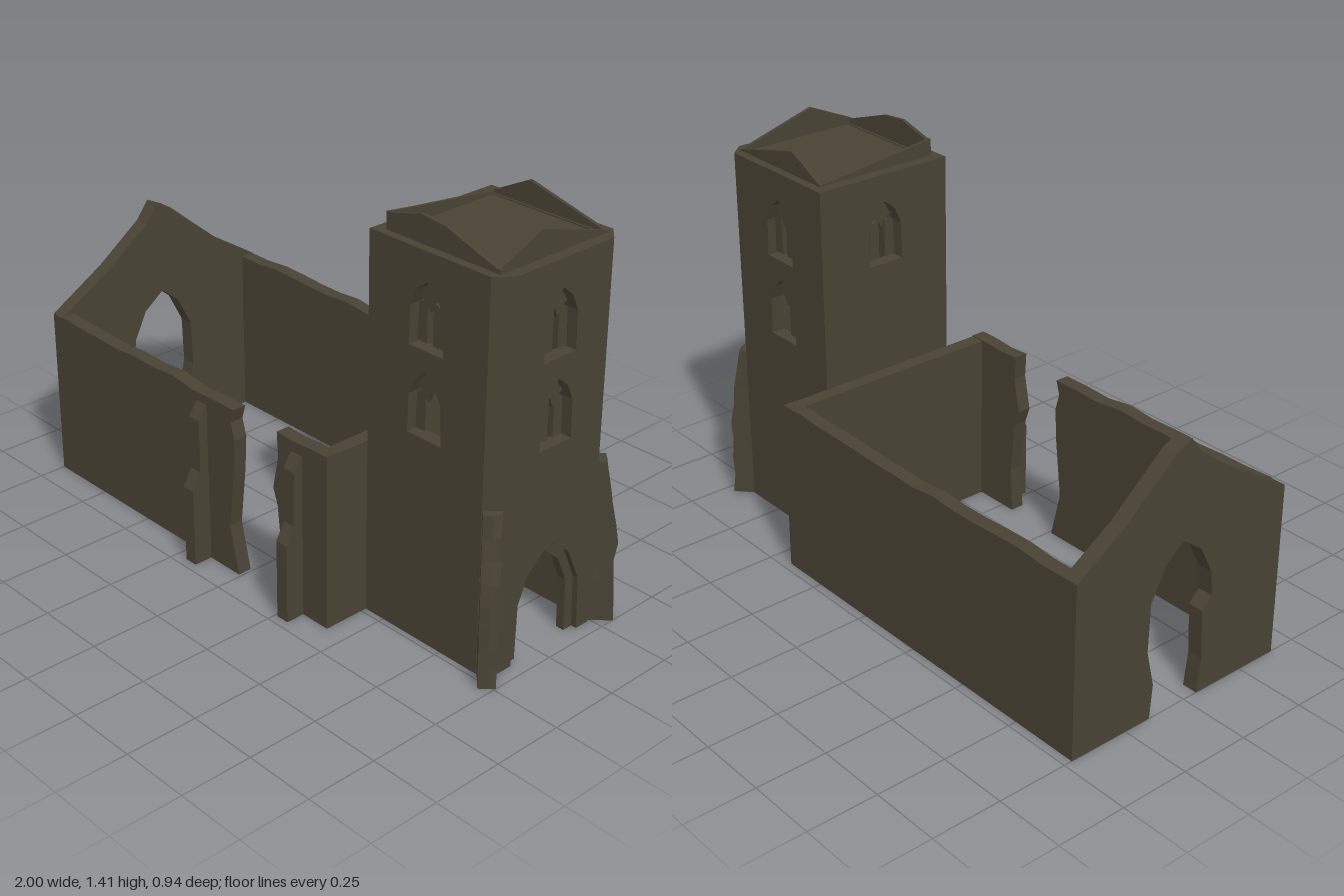
import * as THREE from 'three';

const stone = new THREE.MeshStandardMaterial({ color: 0x484234, flatShading: true, side: THREE.DoubleSide });
stone.name = 'weathered stone';

const hash = (n) => { const s = Math.sin(n * 127.1) * 43758.5453; return s - Math.floor(s); };

const outline = (pts) => new THREE.Shape(pts.map(([x, y]) => new THREE.Vector2(x, y)));

function extrude(pts, holes, depth) {
  const shape = outline(pts);
  for (const h of holes) shape.holes.push(outline(h));
  return new THREE.ExtrudeGeometry(shape, { depth, bevelEnabled: false });
}

function add(group, name, geometry) {
  const mesh = new THREE.Mesh(geometry, stone);
  mesh.name = name;
  group.add(mesh);
  return mesh;
}

// Slab facing z: points are (x, y), filling z0 to z0 + depth
const slabZ = (g, name, pts, z0, depth, holes = []) =>
  add(g, name, extrude(pts, holes, depth).translate(0, 0, z0));

// Slab facing x: points are (z, y), filling x0 to x0 + depth
const slabX = (g, name, pts, x0, depth, holes = []) => {
  const flip = (list) => list.map(([z, y]) => [-z, y]);
  return add(g, name, extrude(flip(pts), holes.map(flip), depth).rotateY(Math.PI / 2).translate(x0, 0, 0));
};

const rect = (a, b, y0, y1) => [[a, y0], [b, y0], [b, y1], [a, y1]];

// Pointed arch, from its lower left foot round to its lower right foot
const arch = (c, half, y0, spring, apex) => {
  const shoulder = spring + (apex - spring) * 0.62;
  return [[c - half, y0], [c - half * 0.95, spring], [c - half * 0.6, shoulder], [c, apex],
    [c + half * 0.6, shoulder], [c + half * 0.95, spring], [c + half, y0]];
};

// Uneven broken wall top, running from a to b
const raggedTop = (a, b, n, seed) => Array.from({ length: n + 1 }, (_, i) =>
  [a + (b - a) * i / n, 0.605 + 0.017 * hash(seed + i)]);

const MID = -0.03;        // tower centre line in z
const TOP = 1.32;         // tower wall height
const WIN = 0.66;         // window centre line in x

function buildNave() {
  const nave = new THREE.Group();
  nave.name = 'nave';
  slabZ(nave, 'backWall', [[-0.945, 0], [0.42, 0], ...raggedTop(0.42, -0.945, 14, 3)], -0.47, 0.05);
  // Front wall in two lengths beside a broken gap
  slabZ(nave, 'frontWallLong', [[-0.945, 0], [-0.01, 0], [-0.05, 0.17], [-0.025, 0.38], [-0.018, 0.5],
    [-0.035, 0.56], ...raggedTop(-0.02, -0.945, 9, 21)], 0.35, 0.05);
  slabZ(nave, 'frontWallShort', [[0.2, 0], [0.42, 0], ...raggedTop(0.42, 0.19, 3, 41),
    [0.195, 0.53], [0.17, 0.41], [0.19, 0.35], [0.21, 0.16]], 0.35, 0.05);
  slabX(nave, 'towerEndWall', rect(-0.42, 0.35, 0, 0.615), 0.37, 0.05);
  // Gable end with a ruined arched opening
  slabX(nave, 'gableWall', [[-0.47, 0], [-0.15, 0], [-0.14, 0.12], [-0.17, 0.25], [-0.165, 0.42],
    [-0.11, 0.53], [-0.04, 0.59], [0.04, 0.53], [0.09, 0.43], [0.1, 0.34], [0.06, 0.3], [0.07, 0.12],
    [0.055, 0], [0.4, 0], [0.4, 0.615], [0.19, 0.74], [0.02, 0.865], [-0.03, 0.93], [-0.09, 0.9],
    [-0.29, 0.73], [-0.47, 0.615]], -1, 0.055);
  // Stepped buttresses
  for (const x of [-0.203, 0.26])
    slabX(nave, 'naveButtress', [[0.4, 0], [0.468, 0], [0.468, 0.28], [0.435, 0.34], [0.435, 0.53],
      [0.405, 0.575], [0.4, 0.575]], x, 0.048);
  return nave;
}

// Broken panels and a head filling part of a window
function windowFilling(g, slab, c, y0, at, sides) {
  for (const s of sides)
    slab(g, 'windowPanel', [[c + s * 0.012, y0 + 0.015], [c + s * 0.053, y0 + 0.015],
      [c + s * 0.047, y0 + 0.14], [c + s * 0.012, y0 + 0.155]], at, 0.012);
  slab(g, 'windowHead', [[c - 0.04, y0 + 0.165], [c - 0.012, y0 + 0.145], [c, y0 + 0.12],
    [c + 0.012, y0 + 0.15], [c + 0.04, y0 + 0.165], [c, y0 + 0.22]], at, 0.016);
}

// Eroded diagonal buttress: a box narrowed with height and roughened
function cornerButtress(g, zSide) {
  const H = 0.575;
  const geo = new THREE.BoxGeometry(0.062, H, 0.1, 2, 8, 2).translate(0, H / 2, 0.03);
  const p = geo.attributes.position;
  for (let i = 0; i < p.count; i++) {
    const x = p.getX(i), y = p.getY(i), z = p.getZ(i);
    const n = Math.round(x * 1000) * 3.1 + Math.round(y * 1000) * 1.7 + Math.round(z * 1000) * 5.3;
    const t = y / H;
    if (z > 0) {
      const reach = t < 0.5 ? 1 : 1 - (t - 0.5) * 1.2;
      const chip = y > 0.01 ? hash(n + zSide) * 0.014 : 0;
      p.setZ(i, z * reach - chip);
      p.setX(i, x * (1 - 0.12 * hash(n + 7)));
    }
  }
  geo.computeVertexNormals();
  const mesh = add(g, 'cornerButtress', geo);
  mesh.rotation.y = zSide > 0 ? Math.PI / 4 : Math.PI * 3 / 4;
  mesh.position.set(0.925, 0, MID + zSide * 0.235);
}

function buildTower() {
  const tower = new THREE.Group();
  tower.name = 'tower';
  const sills = [0.715, 1.005];
  const opening = (c, y) => arch(c, 0.07, y, y + 0.13, y + 0.22);

  // Front and back walls with two windows each
  for (const [name, z0] of [['towerFrontWall', 0.18], ['towerBackWall', -0.29]]) {
    slabZ(tower, name, rect(0.42, 0.905, 0, TOP), z0, 0.05, sills.map((y) => opening(WIN, y)));
    sills.forEach((y, i) => windowFilling(tower, slabZ, WIN, y, z0 + 0.02, i ? [-1, 1] : [-1]));
  }
  // Entrance wall in two layers, giving a stepped doorway
  const layers = [['entranceWallOuter', 0.93, 0.02, 0.153, 0.385], ['entranceWallInner', 0.9, 0.03, 0.115, 0.342]];
  for (const [name, x0, depth, half, apex] of layers)
    slabX(tower, name, [[-0.24, 0], ...arch(MID, half, 0, 0.19, apex), [0.18, 0], [0.18, TOP], [-0.24, TOP]],
      x0, depth, sills.map((y) => opening(MID, y)));
  sills.forEach((y) => windowFilling(tower, slabX, MID, y, 0.915, [-1, 1]));
  // Wall above the nave with its one upper window
  slabX(tower, 'towerNaveWall', rect(-0.24, 0.18, 0, TOP), 0.42, 0.05, [opening(MID, sills[1])]);
  windowFilling(tower, slabX, MID, sills[1], 0.44, [-1, 1]);

  // Chamfered corners with eroded buttresses
  for (const s of [1, -1]) {
    const plan = [[0.9, 0.21], [0.95, 0.21], [0.905, 0.26], [0.9, 0.26]].map(([x, d]) => [x, -(MID + s * d)]);
    add(tower, 'towerCorner', extrude(plan, [], TOP).rotateX(-Math.PI / 2));
    cornerButtress(tower, s);
  }

  // Roof deck inside the rim
  add(tower, 'roofDeck', new THREE.BoxGeometry(0.44, 0.045, 0.43).translate(0.685, 1.2935, MID));
  // Thin broken parapets
  slabZ(tower, 'frontParapet', [[0.46, 1.31], [0.91, 1.31], [0.91, 1.33], [0.7, 1.4], [0.6, 1.41], [0.47, 1.375]], 0.188, 0.012);
  slabZ(tower, 'backParapet', [[0.46, 1.31], [0.91, 1.31], [0.91, 1.325], [0.61, 1.4], [0.46, 1.325]], -0.26, 0.012);
  slabX(tower, 'entranceParapet', [[-0.26, 1.31], [0.2, 1.31], [0.2, 1.335], [0.03, 1.41], [-0.26, 1.325]], 0.9, 0.012);
  slabX(tower, 'naveParapet', [[-0.26, 1.31], [0.2, 1.31], [0.2, 1.378], [0.1, 1.365], [-0.26, 1.325]], 0.46, 0.012);
  return tower;
}

export function createModel() {
  const model = new THREE.Group();
  model.name = 'ruinedChurch';
  model.add(buildNave(), buildTower());
  return model;
}
